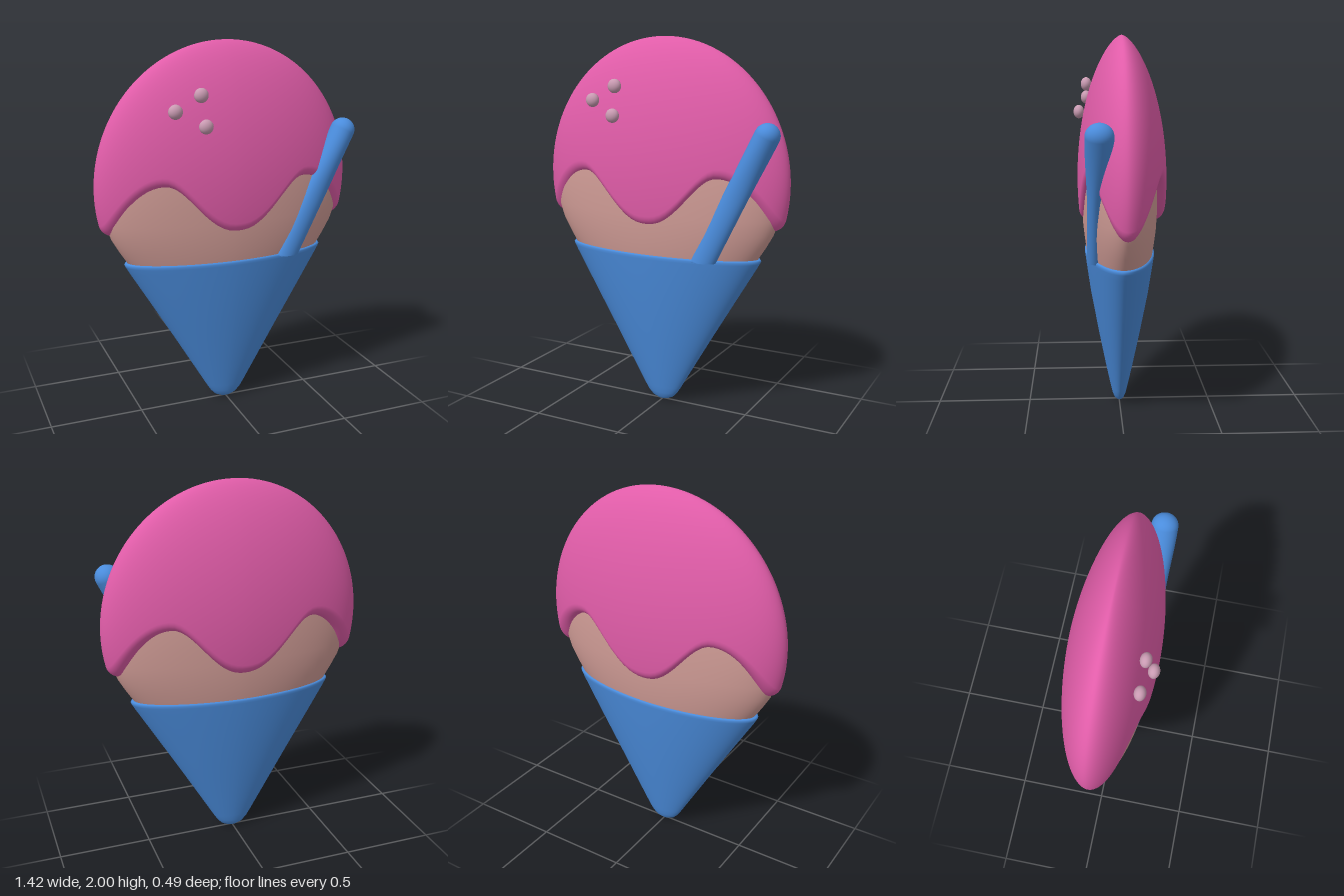
import * as THREE from 'three';
import { mergeVertices } from 'three/addons/utils/BufferGeometryUtils.js';

const SEG = 128;

function material(name, color) {
  const m = new THREE.MeshStandardMaterial({ color });
  m.name = name;
  return m;
}

// Closed skin through rings listed from top to bottom; point(row, angle) gives [x, y, z]
function loft(rows, point) {
  const pos = [], idx = [];
  for (let i = 0; i < rows; i++) {
    for (let j = 0; j < SEG; j++) {
      pos.push(...point(i, (j / SEG) * Math.PI * 2));
      if (i === rows - 1) continue;
      const a = i * SEG + j, b = i * SEG + (j + 1) % SEG;
      idx.push(a, b, a + SEG, b, b + SEG, a + SEG);
    }
  }
  let g = new THREE.BufferGeometry();
  g.setAttribute('position', new THREE.Float32BufferAttribute(pos, 3));
  g.setIndex(idx);
  g = mergeVertices(g, 1e-5);
  g.computeVertexNormals();
  return g;
}

// Flattened oval with slightly pointed ends
function oval(w, d, y, a, zOff = 0) {
  const p = 2 / 1.87, c = Math.cos(a), s = Math.sin(a);
  return [w * Math.sign(c) * Math.abs(c) ** p, y, zOff + d * Math.sign(s) * Math.abs(s) ** p];
}

// Loft from a profile of [halfWidth, halfDepth, y]
function ovalLoft(profile) {
  return loft(profile.length, (i, a) => oval(...profile[i], a));
}

// Lower edge of the icing: low in the middle and at the sides, four arches between
function dripEdge(a) {
  const peak = 0.95, q = Math.abs(Math.asin(Math.sin(a)));
  const t = q < peak ? 0.5 * q / peak : 0.5 + 0.5 * (q - peak) / (Math.PI / 2 - peak);
  return 1.025 + 0.265 * (0.5 - 0.5 * Math.cos(2 * Math.PI * t)) ** 1.3;
}

function icingGeometry() {
  const main = 44, lip = 9, lipHeight = 0.055, inset = 0.045;
  return loft(main + lip + 1, (i, a) => {
    const edge = dripEdge(a);
    let y, cut = 0;
    if (i < main) {
      // dome
      const v = i / (main - 1);
      y = 2 - (2 - edge - lipHeight) * v ** 1.7;
    } else {
      // rounded lip curling in to the scoop
      const q = Math.min((i - main + 1) / lip, 1) * Math.PI / 2;
      y = edge + lipHeight * (1 - Math.sin(q));
      cut = inset * (1 - Math.cos(q)) + (i === main + lip ? 0.03 : 0);
    }
    const r = Math.sqrt(Math.max(0, 1 - ((y - 1.25) / 0.75) ** 2));
    return oval(Math.max(0, 0.71 * r - cut), Math.max(0, 0.235 * r ** 1.3 - cut), y, a, -0.012);
  });
}

// Round stick leaning outward, cut level with the cone rim and thinner at the foot
function strawGeometry() {
  const tip = new THREE.Vector3(0.632, 1.517, 0);
  const dir = new THREE.Vector3(0.327, 0.655, 0).normalize();
  const length = 0.75, r = 0.064, rim = 0.855;
  const g = new THREE.CapsuleGeometry(r, length, 12, 32, 24);
  g.deleteAttribute('uv');
  g.translate(0, -length / 2, 0);
  g.rotateZ(-Math.atan2(dir.x, dir.y));
  g.translate(tip.x, tip.y, 0);
  const p = g.attributes.position;
  for (let i = 0; i < p.count; i++) {
    let x = p.getX(i), y = p.getY(i);
    if (y < rim) {
      x += dir.x * (rim - y) / dir.y;
      y = rim;
    }
    const s = THREE.MathUtils.smoothstep(y, 1.15, 1.5);
    const zc = THREE.MathUtils.lerp(0.136, 0.12, s);
    const k = THREE.MathUtils.lerp(0.64, 1.08, s);
    p.setXYZ(i, x, y, zc + p.getZ(i) * k);
  }
  g.deleteAttribute('normal');
  const merged = mergeVertices(g, 1e-5);
  merged.computeVertexNormals();
  return merged;
}

export function createModel() {
  const group = new THREE.Group();
  const pink = material('pink icing', 0xe05ca8);
  const tan = material('tan ice cream', 0xd09c96);
  const blue = material('blue', 0x4a8cdc);
  const mauve = material('mauve sprinkle', 0xc99bb2);

  const add = (name, geometry, mat) => {
    const mesh = new THREE.Mesh(geometry, mat);
    mesh.name = name;
    group.add(mesh);
    return mesh;
  };

  // Cone with a softly rounded rim and tip
  add('cone', ovalLoft([
    [0, 0, 0.868], [0.53, 0.17, 0.868], [0.548, 0.177, 0.868], [0.562, 0.184, 0.866],
    [0.568, 0.187, 0.858], [0.562, 0.185, 0.845], [0.545, 0.181, 0.815], [0.44, 0.156, 0.64],
    [0.297, 0.112, 0.4], [0.18, 0.072, 0.2], [0.11, 0.046, 0.08], [0.088, 0.038, 0.045],
    [0.062, 0.028, 0.018], [0.032, 0.015, 0.004], [0, 0, 0],
  ]), blue);

  // Ice cream between cone and icing
  add('scoop', ovalLoft([
    [0, 0, 1.45], [0.6, 0.17, 1.45], [0.655, 0.19, 1.37], [0.672, 0.197, 1.28], [0.674, 0.199, 1.18],
    [0.66, 0.198, 1.08], [0.632, 0.194, 1.0], [0.592, 0.186, 0.93], [0.55, 0.177, 0.865],
    [0.51, 0.165, 0.81], [0, 0, 0.81],
  ]), tan);

  add('icing', icingGeometry(), pink);
  add('straw', strawGeometry(), blue);

  // Sprinkles
  const bead = new THREE.SphereGeometry(0.037, 24, 16);
  for (const [x, y, z] of [[-0.33, 1.67, 0.172], [-0.195, 1.745, 0.172], [-0.185, 1.595, 0.213]]) {
    const sprinkle = add('sprinkle', bead, mauve);
    sprinkle.position.set(x, y, z);
    sprinkle.scale.z = 0.78;
  }
  return group;
}
